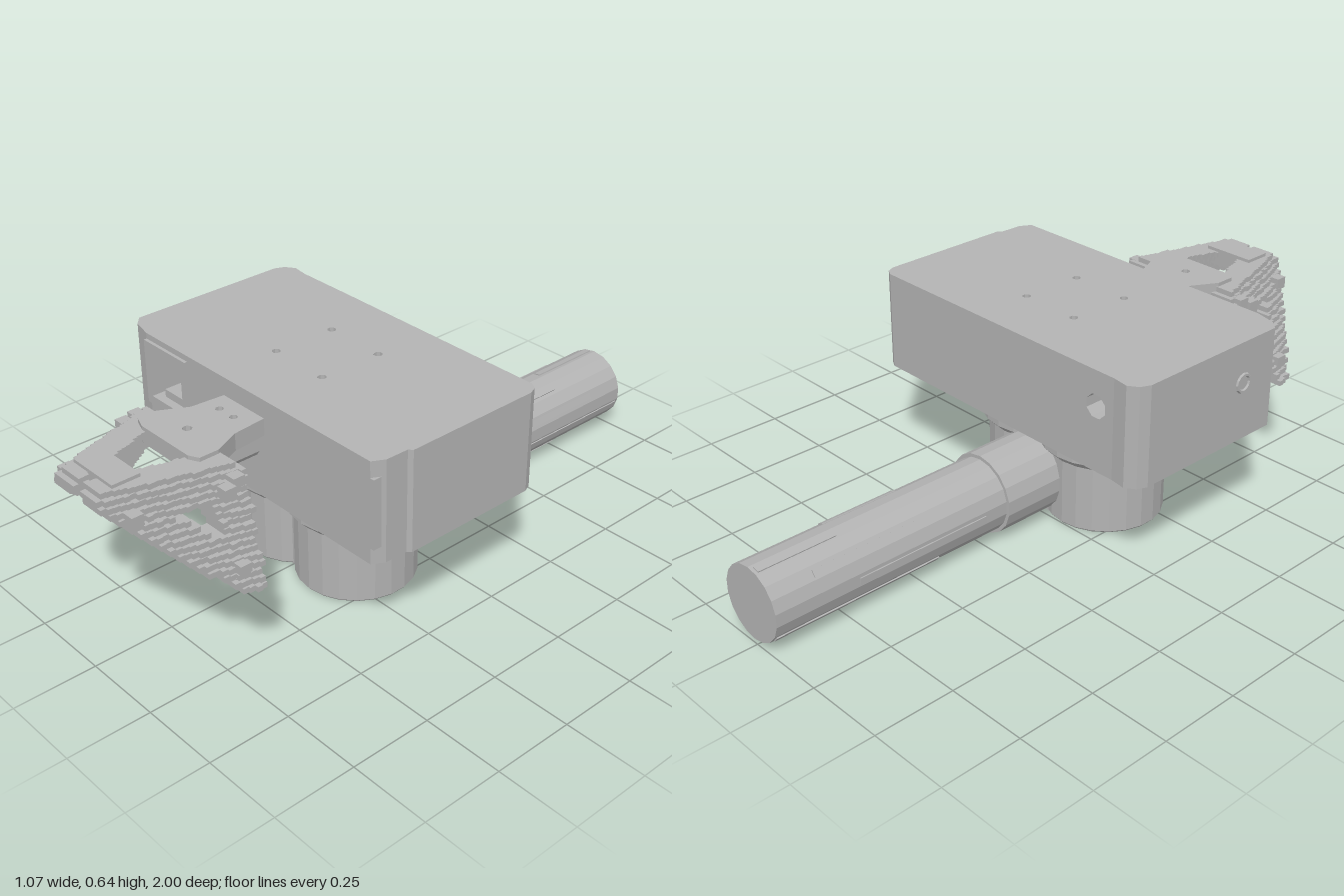
import * as THREE from 'three';
import { mergeGeometries } from 'three/addons/utils/BufferGeometryUtils.js';

const grey = new THREE.MeshStandardMaterial({ color: 0xb3b3b3, flatShading: true });
grey.name = 'plain grey';

function outline(points, holes = []) {
  const shape = new THREE.Shape(points.map(([a, b]) => new THREE.Vector2(a, b)));
  for (const [a, b, r, sides = 8] of holes) {
    const ring = [];
    for (let i = 0; i < sides; i++) {
      const t = ((i + 0.5) / sides) * Math.PI * 2;
      ring.push(new THREE.Vector2(a + r * Math.cos(t), b + r * Math.sin(t)));
    }
    shape.holes.push(new THREE.Path(ring));
  }
  return shape;
}

// Vertical slab from an [x, z] outline, between heights y0 and y1
function slab(points, y0, y1, holes = []) {
  const shape = outline(points.map(([x, z]) => [x, -z]), holes.map(([x, z, r]) => [x, -z, r]));
  const g = new THREE.ExtrudeGeometry(shape, { depth: y1 - y0, bevelEnabled: false });
  return g.rotateX(-Math.PI / 2).translate(0, y0, 0);
}

// Plate from an [x, y] outline, between depths z0 and z1
function plate(points, z0, z1, holes = []) {
  const g = new THREE.ExtrudeGeometry(outline(points, holes), { depth: z1 - z0, bevelEnabled: false });
  return g.translate(0, 0, z0);
}

const rect = (a0, b0, a1, b1) => [[a0, b0], [a1, b0], [a1, b1], [a0, b1]];

function box(x0, x1, y0, y1, z0, z1) {
  return new THREE.BoxGeometry(x1 - x0, y1 - y0, z1 - z0)
    .translate((x0 + x1) / 2, (y0 + y1) / 2, (z0 + z1) / 2);
}

export function createModel() {
  const model = new THREE.Group();
  const add = (name, geometry, parent = model) => {
    const mesh = new THREE.Mesh(geometry, grey);
    mesh.name = name;
    parent.add(mesh);
    return mesh;
  };

  // Housing: main block with screw holes, a socket bay with a through hole, and an end block
  const housing = new THREE.Group();
  housing.name = 'housing';
  model.add(housing);
  const Y0 = 0.34, Y1 = 0.648, ZB = -0.123, ZF = 0.466;
  add('mainBlock', slab(
    [[-0.245, ZB], [0.5, ZB + 0.005], [0.522, -0.105], [0.533, -0.08], [0.533, 0.35],
      [0.522, 0.36], [0.52, 0.43], [0.5, ZF], [-0.245, ZF]],
    Y0, Y1, [[-0.1, 0.065, 0.013], [0.1, 0.07, 0.013], [-0.105, 0.265, 0.013], [0.095, 0.27, 0.013]]), housing);
  add('endBlock', slab(
    [[-0.44, ZB], [-0.44, ZF], [-0.505, 0.45], [-0.533, 0.425], [-0.533, -0.08], [-0.52, -0.11], [-0.49, -0.13]],
    Y0, Y1), housing);
  add('bayRear', plate(rect(-0.44, Y0, -0.245, Y1), ZB, 0.37, [[-0.375, 0.54, 0.037]]), housing);
  const socket = [-0.344, 0.53, 0.105, 4];
  add('bayFront', plate(rect(-0.44, Y0, -0.245, Y1), 0.37, ZF, [socket]), housing);
  add('socketFrame', plate(rect(-0.44, 0.43, -0.248, 0.63), ZF, 0.476, [socket]), housing);
  add('socketLedges', mergeGeometries([
    box(-0.39, -0.31, 0.575, 0.605, 0.37, 0.45),
    box(-0.39, -0.27, 0.455, 0.48, 0.37, 0.45),
    box(-0.335, -0.27, 0.48, 0.575, 0.37, 0.41),
  ]), housing);
  add('cornerStrip', box(0.498, 0.514, 0.39, 0.6, 0.42, 0.467), housing);
  const port = new THREE.TorusGeometry(0.026, 0.006, 6, 12).rotateY(Math.PI / 2).translate(-0.533, 0.52, 0.3);
  add('sidePort', port, housing);

  // Flange: rectangle with clipped corners, narrower below
  const clipped = (x, z0, z1, c) => [
    [-x + c, z0], [x - c, z0], [x, z0 + c], [x, z1 - c], [x - c, z1], [-x + c, z1], [-x, z1 - c], [-x, z0 + c]];
  add('flangeUpper', slab(clipped(0.4, -0.035, 0.435, 0.04), 0.31, 0.342));
  add('flangeLower', slab(clipped(0.382, -0.02, 0.415, 0.05), 0.293, 0.311));

  // Twin drums under the flange
  const drumProfile = [[0, 0.003], [0.176, 0.003], [0.18, 0.008], [0.18, 0.216], [0.203, 0.24], [0.203, 0.296], [0, 0.296]]
    .map(([r, y]) => new THREE.Vector2(r, y));
  for (const s of [1, -1]) {
    add(s > 0 ? 'leftDrum' : 'rightDrum', new THREE.LatheGeometry(drumProfile, 22).translate(0.126 * s, 0, 0.18));
  }
  add('drumBridge', box(-0.1, 0.1, 0.003, 0.296, 0.02, 0.31));

  // Handle: long faceted bar with a thicker sleeve and shallow ribs
  const rod = (r, z0, z1) => new THREE.CylinderGeometry(r, r, z1 - z0, 18)
    .rotateX(Math.PI / 2).translate(0.01, 0.13, (z0 + z1) / 2);
  add('handleBar', rod(0.114, -1, -0.19));
  add('handleSleeve', rod(0.125, -0.2, 0.05));
  const ribs = [];
  for (let i = 0; i < 9; i++) {
    const length = 0.25 + 0.1 * (i % 4);
    ribs.push(new THREE.BoxGeometry(0.022, 0.01, length)
      .translate(0, 0.111, -0.99 + length / 2 + 0.13 * (i % 3))
      .rotateZ((i / 9) * Math.PI * 2 + 0.2).translate(0.01, 0.13, 0));
  }
  add('handleRibs', mergeGeometries(ribs));

  // Front bracket: flared plate, support block and cross bar
  add('bracketPlate', slab(
    [[-0.085, 0.46], [0.085, 0.46], [0.095, 0.57], [0.13, 0.65], [0.13, 0.71], [0.1, 0.725],
      [-0.1, 0.725], [-0.14, 0.71], [-0.14, 0.65], [-0.095, 0.57]],
    0.54, 0.592, [[-0.035, 0.52, 0.012], [0.025, 0.52, 0.012], [-0.01, 0.645, 0.014]]));
  add('bracketSupport', plate(
    [[-0.05, 0.465], [0.05, 0.465], [0.06, 0.48], [0.06, 0.541], [-0.06, 0.541], [-0.06, 0.48]], 0.46, 0.62));
  add('crossBar', box(-0.085, 0.085, 0.535, 0.59, 0.86, 0.945));

  // Side arms: sloping triangular frames built of small stepped blocks
  let seed = 7;
  const random = () => (seed = (seed * 16807) % 2147483647) / 2147483647;
  const A = new THREE.Vector3(0, 0.545, 0.95);
  const B = new THREE.Vector3(0, 0.545, 0.675);
  const C = new THREE.Vector3(0, 0.345, 0.73);
  const edges = [new THREE.Line3(A, B), new THREE.Line3(B, C), new THREE.Line3(C, A)];
  const slopeX = (y, z) => 0.075 - 0.74 * (y - 0.545) - 0.327 * (z - 0.95);
  const point = new THREE.Vector3(), near = new THREE.Vector3();
  const cell = 0.016;
  for (const s of [1, -1]) {
    const blocks = [];
    for (let y = 0.3; y < 0.6; y += cell) {
      for (let z = 0.62; z < 1; z += cell) {
        point.set(0, y, z);
        const gap = Math.min(...edges.map((e) => e.closestPointToPoint(point, true, near).distanceTo(point)));
        if (gap > 0.042) continue;
        const width = 0.072 + 0.02 * random();
        blocks.push(new THREE.BoxGeometry(width, cell, cell).translate(s * slopeX(y, z), y, z));
      }
    }
    // Small lugs at the corners
    for (const [x, y, z] of [[0.215, 0.545, 0.665], [0.225, 0.53, 0.7], [0.32, 0.365, 0.735], [0.305, 0.325, 0.74], [0.15, 0.515, 0.93]]) {
      blocks.push(new THREE.BoxGeometry(0.034, 0.036, 0.036).translate(s * x, y, z));
    }
    add(s > 0 ? 'leftArm' : 'rightArm', mergeGeometries(blocks));
  }
  return model;
}
